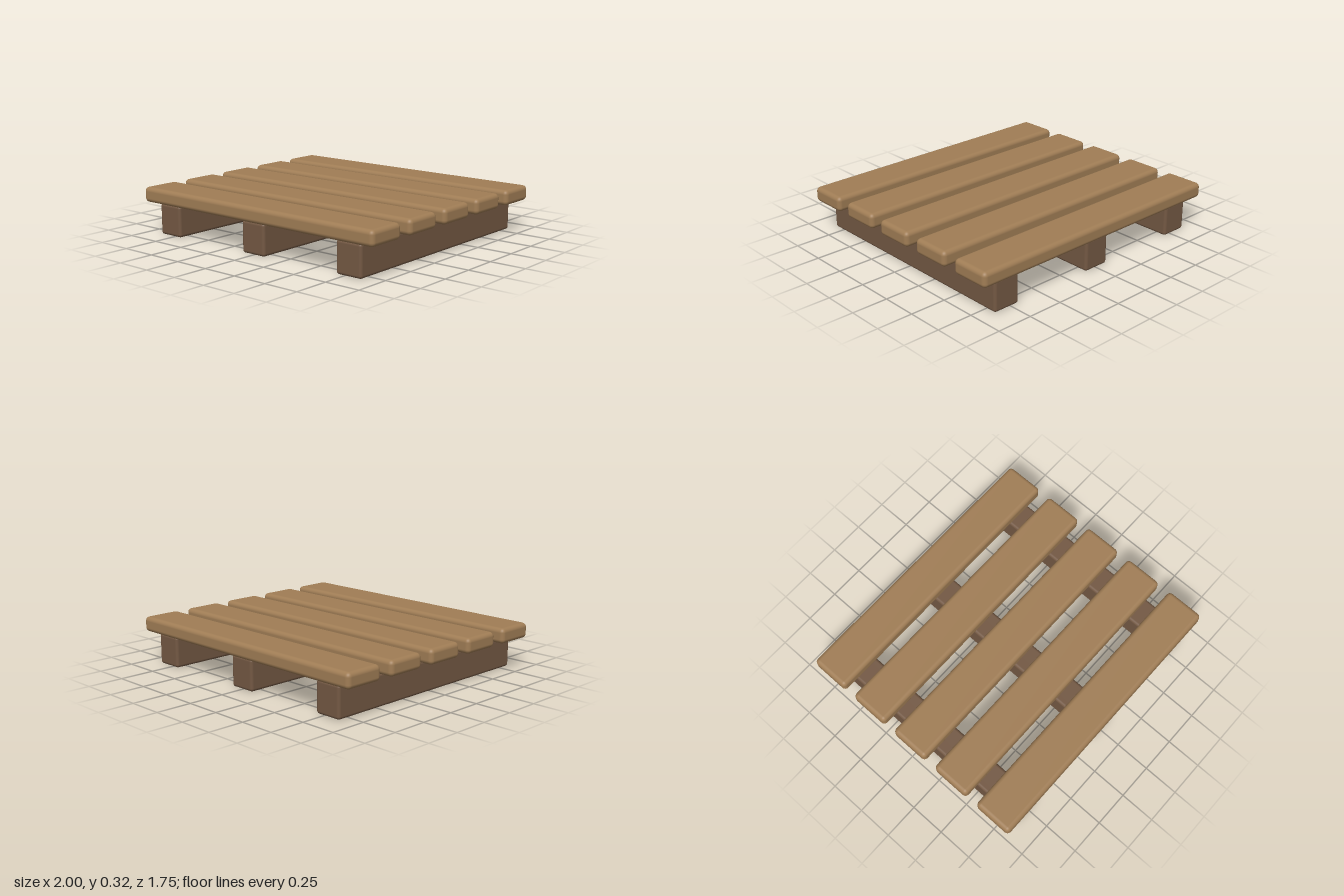
import * as THREE from 'three';
import { RoundedBoxGeometry } from 'three/addons/geometries/RoundedBoxGeometry.js';

export function createModel() {
  const group = new THREE.Group();
  const slatWood = new THREE.MeshStandardMaterial({ color: 0xa07d55 });
  const beamWood = new THREE.MeshStandardMaterial({ color: 0x735843 });

  function addBoard(name, size, radius, material, x, y, z) {
    const mesh = new THREE.Mesh(new RoundedBoxGeometry(...size, 4, radius), material);
    mesh.name = name;
    mesh.position.set(x, y, z);
    group.add(mesh);
  }

  // Three beams running front to back
  ['rightBeam', 'middleBeam', 'leftBeam'].forEach((name, i) => {
    addBoard(name, [0.195, 0.218, 1.67], 0.02, beamWood, (i - 1) * 0.785, 0.109, 0);
  });

  // Five deck slats lying across the beams
  for (let i = 0; i < 5; i++) {
    addBoard(`deckSlat${i + 1}`, [2, 0.106, 0.28], 0.03, slatWood, 0, 0.27, (i - 2) * 0.368);
  }

  return group;
}
